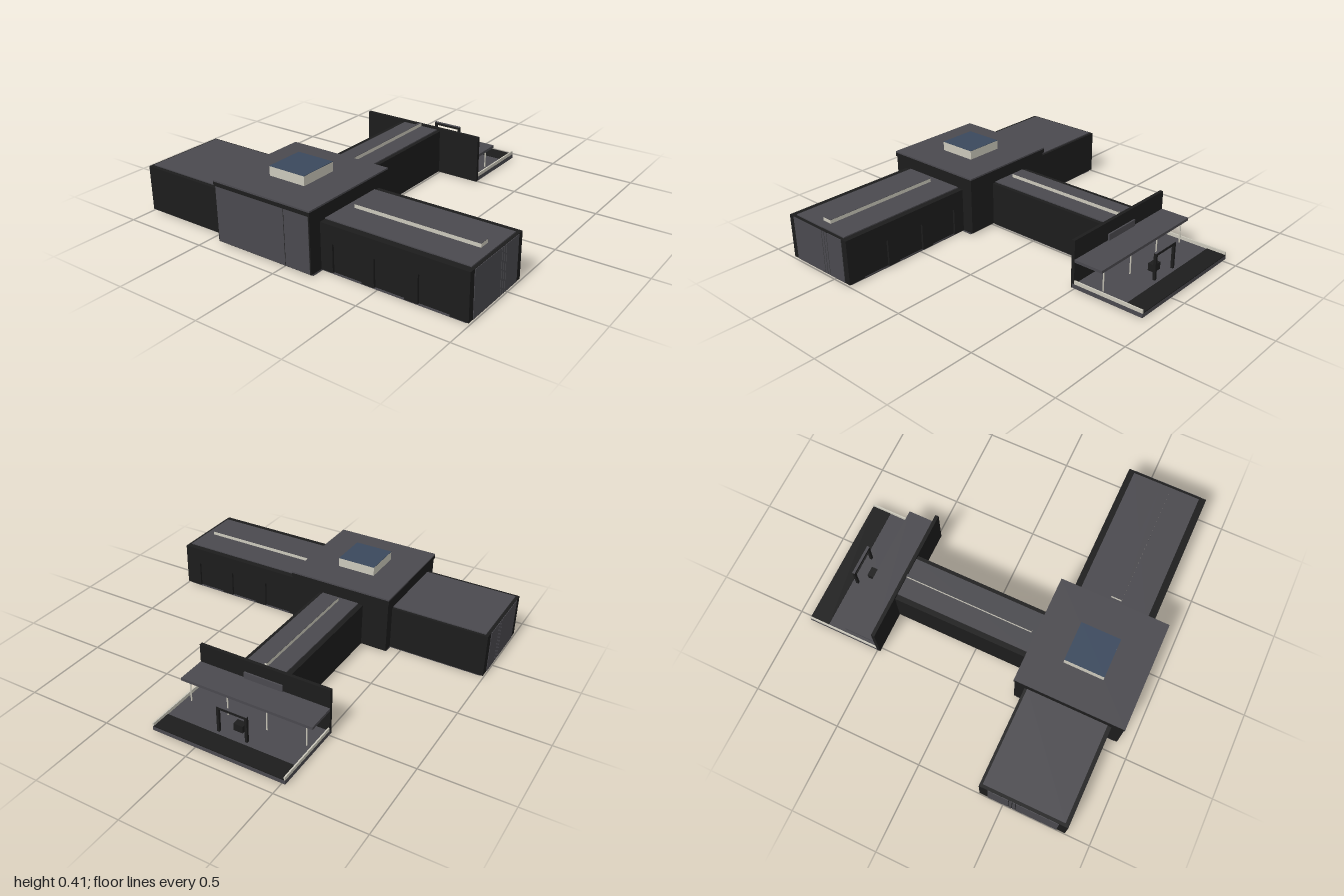
import * as THREE from 'three';

const material = (name, color) => {
  const m = new THREE.MeshStandardMaterial({ color });
  m.name = name;
  return m;
};

export function createModel() {
  const dark = material('charcoal wall', 0x1c1c1c);
  const grey = material('slate grey', 0x4a494e);
  const cream = material('pale concrete', 0xcbc8bb);
  const glass = material('blue glass', 0x3a485c);
  const black = material('near black', 0x141414);

  const root = new THREE.Group();
  root.name = 'pavilion';

  const group = (name) => {
    const g = new THREE.Group();
    g.name = name;
    root.add(g);
    return g;
  };
  // Box given by its extents along each axis
  const box = (parent, name, mat, x0, x1, y0, y1, z0, z1) => {
    const mesh = new THREE.Mesh(new THREE.BoxGeometry(x1 - x0, y1 - y0, z1 - z0), mat);
    mesh.position.set((x0 + x1) / 2, (y0 + y1) / 2, (z0 + z1) / 2);
    mesh.name = name;
    parent.add(mesh);
  };
  // Narrow roof light: pale kerb with a grey lid
  const roofLight = (parent, x0, x1, z0, z1) => {
    box(parent, 'roofLightKerb', cream, x0, x1, 0.265, 0.29, z0, z1);
    box(parent, 'roofLightLid', grey, x0, x1, 0.29, 0.2915, z0, z1);
  };

  // Central hall
  const hall = group('centralHall');
  box(hall, 'hallFloor', grey, -0.435, 0.175, 0, 0.01, 0.32, 0.905);
  box(hall, 'hallWalls', dark, -0.435, 0.175, 0.01, 0.335, 0.305, 0.92);
  box(hall, 'hallRoofEdge', dark, -0.44, 0.18, 0.32, 0.342, 0.3, 0.924);
  box(hall, 'hallRoof', grey, -0.44, 0.18, 0.342, 0.351, 0.3, 0.924);
  box(hall, 'facadePanel', grey, -0.43, 0.013, 0.012, 0.32, 0.916, 0.922);
  box(hall, 'facadeSidePanel', grey, 0.017, 0.168, 0.012, 0.32, 0.916, 0.922);
  box(hall, 'skylightKerb', cream, -0.245, -0.02, 0.35, 0.403, 0.497, 0.722);
  box(hall, 'skylightGlass', glass, -0.245, -0.02, 0.403, 0.405, 0.497, 0.722);
  box(hall, 'floorHatch', black, -0.23, -0.04, -0.0005, 0.002, 0.51, 0.7);

  // Wing on the -x side
  const plainWing = group('plainWing');
  box(plainWing, 'wingFloor', grey, -0.98, -0.435, 0, 0.01, 0.37, 0.845);
  box(plainWing, 'wingWalls', dark, -0.997, -0.43, 0.01, 0.264, 0.362, 0.857);
  box(plainWing, 'wingRoof', grey, -0.98, -0.43, 0.262, 0.27, 0.377, 0.835);
  for (const x of [-0.86, -0.74, -0.62]) {
    box(plainWing, 'floorVent', black, x, x + 0.06, -0.0005, 0.002, 0.4, 0.425);
  }

  // Wing on the +x side, with recessed bays along both long sides
  const bayWing = group('bayWing');
  box(bayWing, 'wingFloor', grey, 0.175, 0.98, 0, 0.01, 0.385, 0.835);
  box(bayWing, 'wingCore', dark, 0.17, 0.997, 0.01, 0.264, 0.387, 0.832);
  box(bayWing, 'wingRoof', grey, 0.17, 0.98, 0.262, 0.27, 0.41, 0.805);
  roofLight(bayWing, 0.225, 0.93, 0.58, 0.64);
  const bays = [0.245, 0.487, 0.73];
  const bayWidth = 0.17;
  const pierStarts = [0.17, ...bays.map((x) => x + bayWidth)];
  const pierEnds = [...bays, 0.997];
  for (const [z0, z1] of [[0.375, 0.387], [0.832, 0.844]]) {
    box(bayWing, 'bayLintel', dark, 0.17, 0.997, 0.165, 0.264, z0, z1);
    pierStarts.forEach((x, i) => box(bayWing, 'bayPier', dark, x, pierEnds[i], 0.01, 0.165, z0, z1));
  }
  for (const x of bays) {
    for (const z of [0.41, 0.78]) {
      box(bayWing, 'floorVent', black, x + 0.05, x + 0.12, -0.0005, 0.002, z, z + 0.025);
    }
  }

  // Grey end panels split by narrow dark joints
  const joints = [0.41, 0.53, 0.55, 0.57, 0.81];
  for (const [wing, x] of [[plainWing, -0.997], [bayWing, 0.997]]) {
    for (let i = 0; i < joints.length - 1; i++) {
      box(wing, 'endPanel', grey, x - 0.003, x + 0.003, 0.012, 0.262, joints[i] + 0.002, joints[i + 1] - 0.002);
    }
  }

  // Corridor leading to the terrace
  const corridor = group('corridor');
  box(corridor, 'corridorFloor', grey, -0.27, -0.01, 0, 0.01, -0.485, 0.3);
  box(corridor, 'corridorWalls', dark, -0.28, 0, 0.01, 0.264, -0.49, 0.31);
  box(corridor, 'corridorRoof', grey, -0.25, -0.022, 0.262, 0.27, -0.485, 0.31);
  roofLight(corridor, -0.143, -0.129, -0.48, 0.27);

  // Terrace with back wall and canopy
  const terrace = group('terrace');
  box(terrace, 'terraceSlab', grey, -0.522, 0.258, 0.005, 0.03, -0.925, -0.49);
  box(terrace, 'terraceStep', dark, -0.514, 0.25, 0.028, 0.033, -0.925, -0.812);
  for (const x of [-0.522, 0.25]) {
    box(terrace, 'sideKerb', cream, x, x + 0.008, 0.03, 0.05, -0.925, -0.502);
  }
  box(terrace, 'backWall', dark, -0.522, 0.258, 0.005, 0.28, -0.502, -0.482);
  box(terrace, 'doorPanel', grey, -0.25, -0.02, 0.03, 0.21, -0.511, -0.502);
  box(terrace, 'canopy', grey, -0.522, 0.258, 0.156, 0.172, -0.675, -0.502);
  for (const x of [-0.48, -0.25, -0.015, 0.215]) {
    const post = new THREE.Mesh(new THREE.CylinderGeometry(0.004, 0.004, 0.127, 8), cream);
    post.position.set(x, 0.0935, -0.655);
    post.name = 'canopyPost';
    terrace.add(post);
  }
  box(terrace, 'lowBlock', dark, -0.163, -0.108, 0.03, 0.072, -0.742, -0.702);

  // Freestanding gate on the terrace
  const gate = group('gate');
  for (const x of [-0.222, -0.056]) {
    box(gate, 'gatePost', dark, x, x + 0.014, 0.03, 0.172, -0.791, -0.776);
  }
  box(gate, 'gateBeam', dark, -0.222, -0.042, 0.17, 0.184, -0.791, -0.776);
  box(gate, 'gateBeamTop', grey, -0.222, -0.042, 0.184, 0.187, -0.791, -0.776);

  return root;
}
